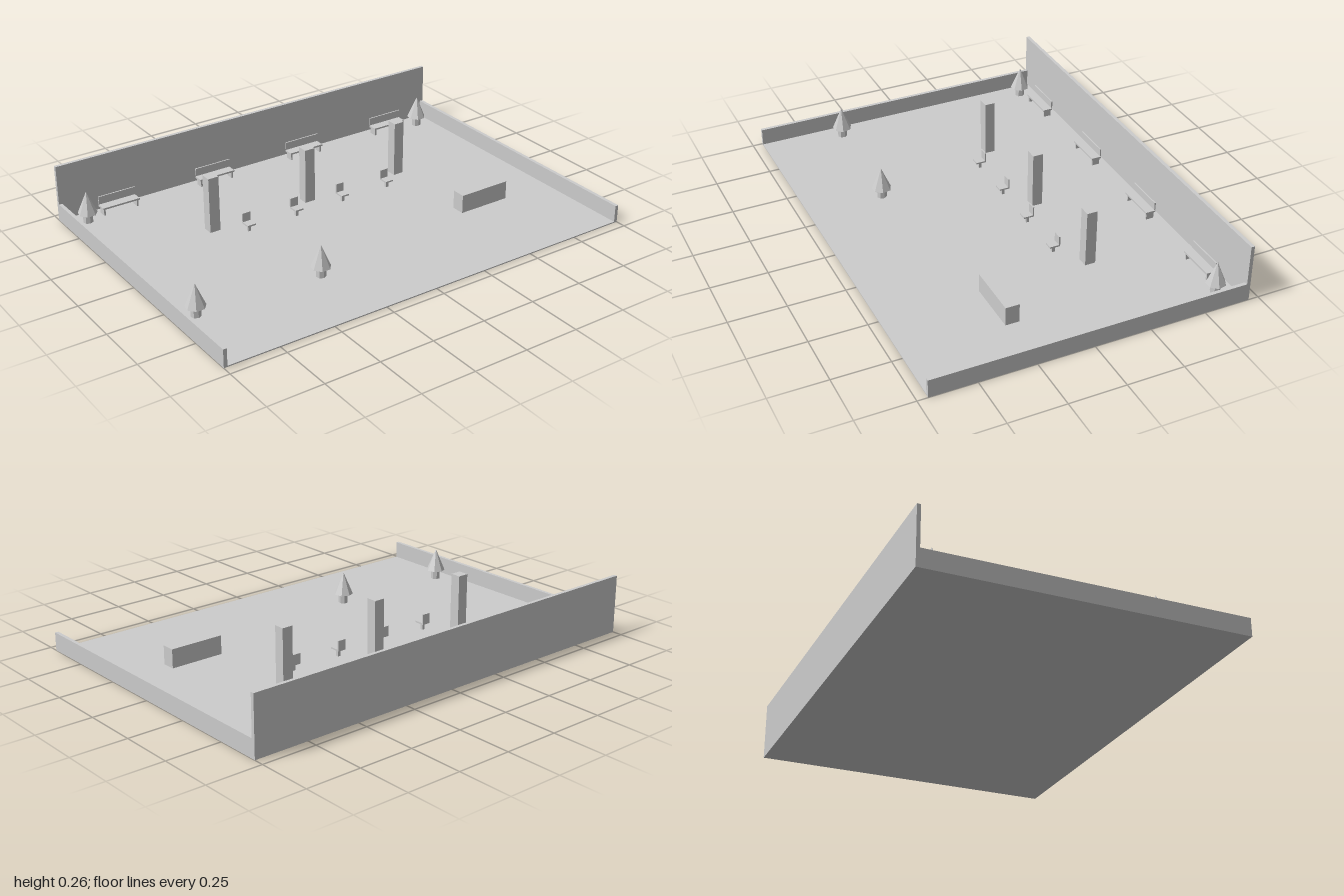
import * as THREE from 'three';

export function createModel() {
  const model = new THREE.Group();
  model.name = 'hall';
  const grey = new THREE.MeshStandardMaterial({ color: 0xcccccc, flatShading: true });
  grey.name = 'plain grey';
  const floorY = 0.005;

  const group = (name, x, z) => {
    const g = new THREE.Group();
    g.name = name;
    g.position.set(x, floorY, z);
    model.add(g);
    return g;
  };
  const add = (parent, name, geometry, x, y, z) => {
    const m = new THREE.Mesh(geometry, grey);
    m.name = name;
    m.position.set(x, y, z);
    parent.add(m);
    return m;
  };
  // Box given by its size and the middle of its underside
  const box = (parent, name, w, h, d, x, y, z) =>
    add(parent, name, new THREE.BoxGeometry(w, h, d), x, y + h / 2, z);

  // Floor and walls
  box(model, 'floor', 2, floorY, 1.41, 0, 0, 0);
  box(model, 'backWall', 2, 0.264, 0.016, 0, 0, -0.697);
  for (const s of [-1, 1]) {
    box(model, s > 0 ? 'leftWall' : 'rightWall', 0.016, 0.082, 1.394, s * 0.992, 0, 0.008);
  }

  // Square pillars
  for (const x of [-0.493, 0, 0.493]) box(model, 'pillar', 0.05, 0.258, 0.048, x, floorY, -0.238);

  // Counter
  box(model, 'counter', 0.25, 0.085, 0.062, 0.615, floorY, 0.231);

  // Benches along the back wall
  for (const x of [-0.738, -0.246, 0.246, 0.738]) {
    const bench = group('bench', x, -0.635);
    box(bench, 'benchSeat', 0.18, 0.008, 0.046, 0, 0.031, 0);
    box(bench, 'benchBack', 0.18, 0.035, 0.006, 0, 0.044, -0.02);
    for (const s of [-1, 1]) box(bench, 'benchLeg', 0.008, 0.031, 0.036, s * 0.081, 0, 0);
  }

  // Chairs on a single post
  for (const x of [-0.369, -0.123, 0.123, 0.369]) {
    const chair = group('chair', x, -0.139);
    box(chair, 'chairSeat', 0.04, 0.007, 0.048, 0, 0.031, 0);
    box(chair, 'chairBack', 0.04, 0.041, 0.006, 0, 0.038, -0.021);
    box(chair, 'chairPost', 0.013, 0.031, 0.013, 0, 0, 0);
  }

  // Faceted trees
  for (const [x, z] of [[-0.905, -0.608], [0.9, -0.608], [-0.905, 0.335], [-0.332, 0.36]]) {
    const tree = group('tree', x, z);
    add(tree, 'trunk', new THREE.CylinderGeometry(0.022, 0.022, 0.045, 7), 0, 0.0225, 0);
    add(tree, 'foliage', new THREE.ConeGeometry(0.044, 0.104, 7), 0, 0.095, 0).rotation.y = Math.PI;
  }

  return model;
}
